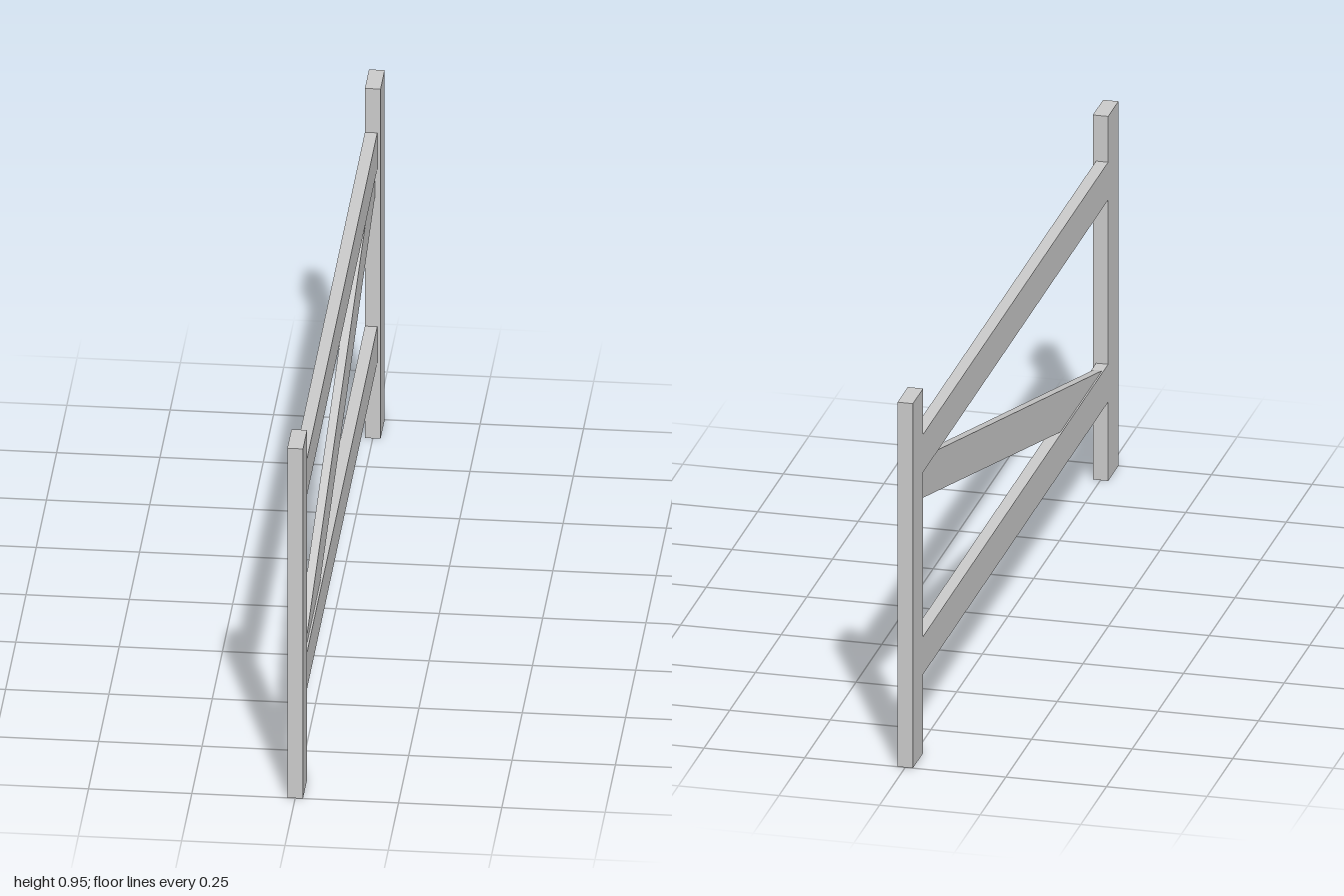
import * as THREE from 'three';

const material = new THREE.MeshStandardMaterial({ color: 0xcccccc, flatShading: true });

// Box given by its extents on each axis
function plank(name, [x0, x1], [y0, y1], [z0, z1]) {
  const mesh = new THREE.Mesh(new THREE.BoxGeometry(x1 - x0, y1 - y0, z1 - z0), material);
  mesh.position.set((x0 + x1) / 2, (y0 + y1) / 2, (z0 + z1) / 2);
  mesh.name = name;
  return mesh;
}

export function createModel() {
  const group = new THREE.Group();
  group.name = 'fencePanel';

  // End posts
  const postX = [-0.019, 0.019];
  group.add(plank('frontPost', postX, [0, 0.947], [0.9, 1]));
  group.add(plank('backPost', postX, [0, 0.947], [-1, -0.9]));

  // Horizontal rails, flush with the posts on the -x face
  const railX = [-0.019, 0.011];
  group.add(plank('lowerRail', railX, [0.205, 0.303], [-0.9, 0.9]));
  group.add(plank('upperRail', railX, [0.73, 0.828], [-0.9, 0.9]));

  // Diagonal brace, slightly thinner than the rails, with ends cut inside the frame
  const outline = [[-0.88, 0.297], [-0.8, 0.21], [-0.1, 0.396], [0.9, 0.661], [0.9, 0.767]];
  const shape = new THREE.Shape(outline.map(([s, y]) => new THREE.Vector2(s, y)));
  const brace = new THREE.Mesh(
    new THREE.ExtrudeGeometry(shape, { depth: 0.021, bevelEnabled: false }), material);
  brace.rotation.y = Math.PI / 2;
  brace.position.x = -0.015;
  brace.name = 'diagonalBrace';
  group.add(brace);

  return group;
}
